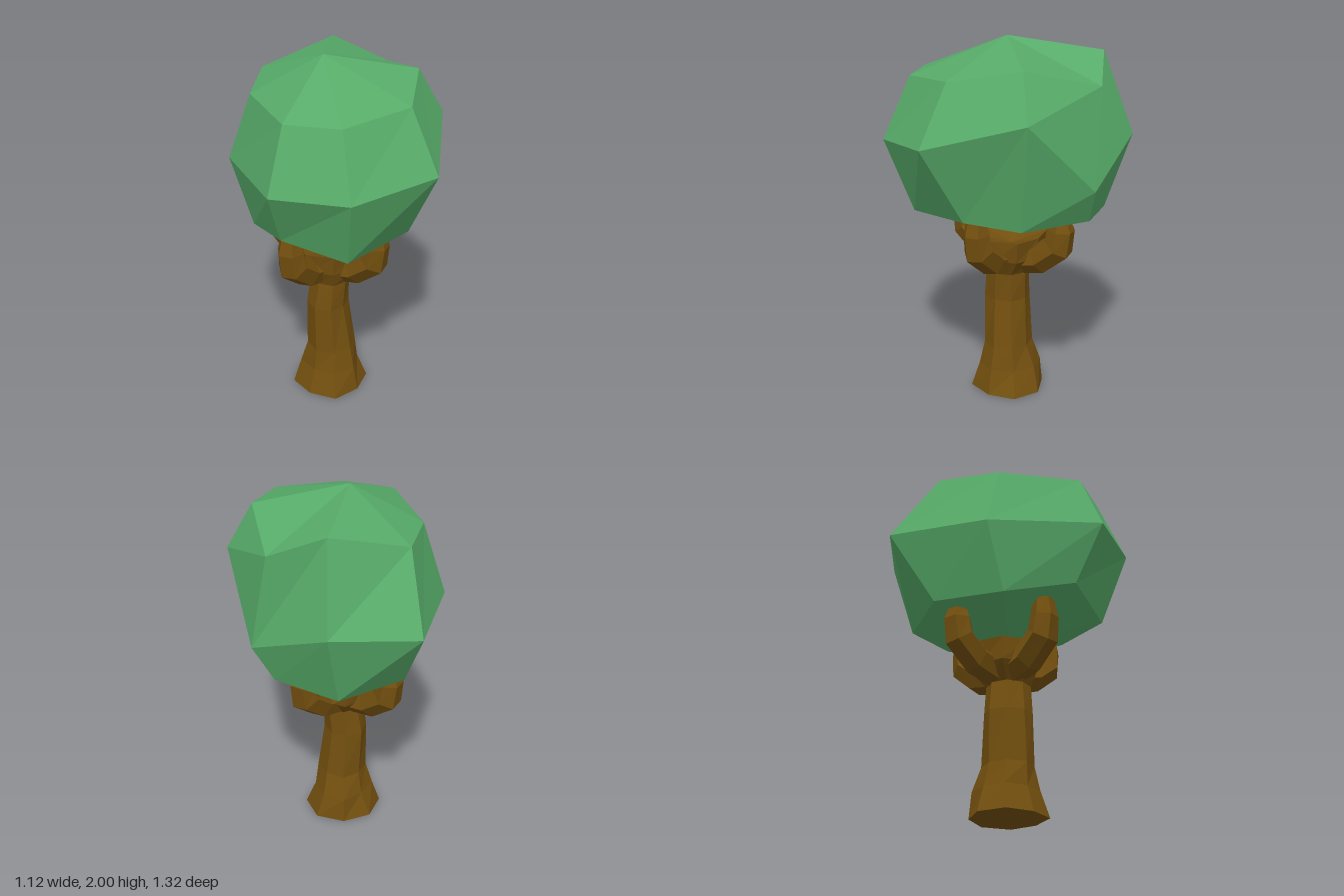
import * as THREE from 'three';

const leafMaterial = new THREE.MeshStandardMaterial({ color: 0x57ab69, flatShading: true });
const barkMaterial = new THREE.MeshStandardMaterial({ color: 0x74500f, flatShading: true });

// Faceted skin over closed rings (bottom to top), closed by a point at each end
function loft(name, rings, bottom, top, material) {
  const n = rings[0].length;
  const index = [];
  const at = (i, j) => i * n + (j % n);
  const low = rings.length * n, high = low + 1;
  for (let j = 0; j < n; j++) {
    for (let i = 0; i < rings.length - 1; i++) {
      const a = at(i, j), b = at(i, j + 1), c = at(i + 1, j + 1), d = at(i + 1, j);
      index.push(a, d, b, d, c, b);
    }
    index.push(low, at(0, j), at(0, j + 1));
    index.push(high, at(rings.length - 1, j + 1), at(rings.length - 1, j));
  }
  let geometry = new THREE.BufferGeometry();
  const points = [...rings.flat(2), ...bottom, ...top];
  geometry.setAttribute('position', new THREE.Float32BufferAttribute(points, 3));
  geometry.setIndex(index);
  geometry = geometry.toNonIndexed();
  geometry.computeVertexNormals();
  const mesh = new THREE.Mesh(geometry, material);
  mesh.name = name;
  return mesh;
}

// Lopsided eight-sided crown of leaves
function createCanopy() {
  const lower = [[0.39, 1.07, 0], [0.33, 1.12, 0.29], [-0.02, 1.085, 0.51], [-0.34, 1.165, 0.37],
    [-0.45, 1.07, 0], [-0.34, 1.08, -0.37], [0, 1.06, -0.53], [0.32, 1.09, -0.37]];
  const middle = [[0.555, 1.66, 0], [0.42, 1.53, 0.51], [-0.03, 1.48, 0.66], [-0.41, 1.48, 0.52],
    [-0.56, 1.43, -0.08], [-0.4, 1.45, -0.61], [0.055, 1.48, -0.66], [0.43, 1.28, -0.37]];
  const upper = [[0.42, 1.9, 0], [0.31, 1.84, 0.36], [-0.05, 1.81, 0.51], [-0.32, 1.81, 0.41],
    [-0.44, 1.8, -0.03], [-0.35, 1.82, -0.36], [0.05, 1.93, -0.49], [0.34, 1.8, -0.41]];
  return loft('canopy', [lower, middle, upper], [-0.03, 0.97, 0], [-0.07, 2, 0], leafMaterial);
}

// Trunk: flared foot, slim waist, bowl where the branches part
function createTrunk() {
  // y, centre x, centre z, radius x, radius z, unevenness
  const sections = [
    [0, -0.04, 0, 0.22, 0.21, 0.06],
    [0.14, -0.04, -0.01, 0.17, 0.18, 0.08],
    [0.27, -0.035, 0, 0.14, 0.14, 0.05],
    [0.55, -0.055, 0, 0.12, 0.13, 0.05],
    [0.71, -0.04, 0, 0.11, 0.12, 0.03],
    [0.8, -0.045, -0.02, 0.18, 0.18, 0.05],
    [0.92, -0.045, -0.02, 0.2, 0.2, 0.05],
  ];
  const rings = sections.map(([y, cx, cz, rx, rz, bump], i) =>
    Array.from({ length: 8 }, (_, j) => {
      const a = (j / 8) * Math.PI * 2;
      const k = 1 - bump * (1 + Math.sin(j * 2.4 + i * 1.7)) * (j % 2 ? 1 : 0.4);
      return [cx + Math.cos(a) * rx * k, y, cz + Math.sin(a) * rz * k];
    }));
  return loft('trunk', rings, [-0.04, 0, 0], [-0.045, 0.86, -0.02], barkMaterial);
}

// Stubby branch: grows outwards, then bends up into the leaves
function createBranch(angle, rise) {
  // distance from the trunk, height, half width
  const path = [[0.04, 0.77, 0.08], [0.19, 0.81, 0.085], [0.305, 0.9, 0.085],
    [0.32, 1.0, 0.075], [0.315, 1.08 + rise, 0.058]];
  const place = (r, y) => [-0.048 + Math.cos(angle) * r, y, -0.025 + Math.sin(angle) * r];
  const rings = path.map(([r, y, w], i) => {
    const before = path[Math.max(i - 1, 0)], after = path[Math.min(i + 1, path.length - 1)];
    const slope = new THREE.Vector2(after[0] - before[0], after[1] - before[1]).normalize();
    return Array.from({ length: 6 }, (_, j) => {
      const a = (j / 6) * Math.PI * 2 + 0.3;
      const out = Math.cos(a) * w, side = Math.sin(a) * w;
      const [x, py, z] = place(r + out * slope.y, y - out * slope.x);
      return [x - Math.sin(angle) * side, py, z + Math.cos(angle) * side];
    });
  });
  const end = path[path.length - 1];
  return loft('branch', rings, place(0.02, 0.76), place(end[0], end[1] + 0.01), barkMaterial);
}

export function createModel() {
  const tree = new THREE.Group();
  tree.name = 'tree';
  tree.add(createCanopy(), createTrunk());
  const rises = [0, 0.02, -0.03, -0.04];
  rises.forEach((rise, i) => tree.add(createBranch(Math.PI / 4 + (i * Math.PI) / 2, rise)));
  return tree;
}
